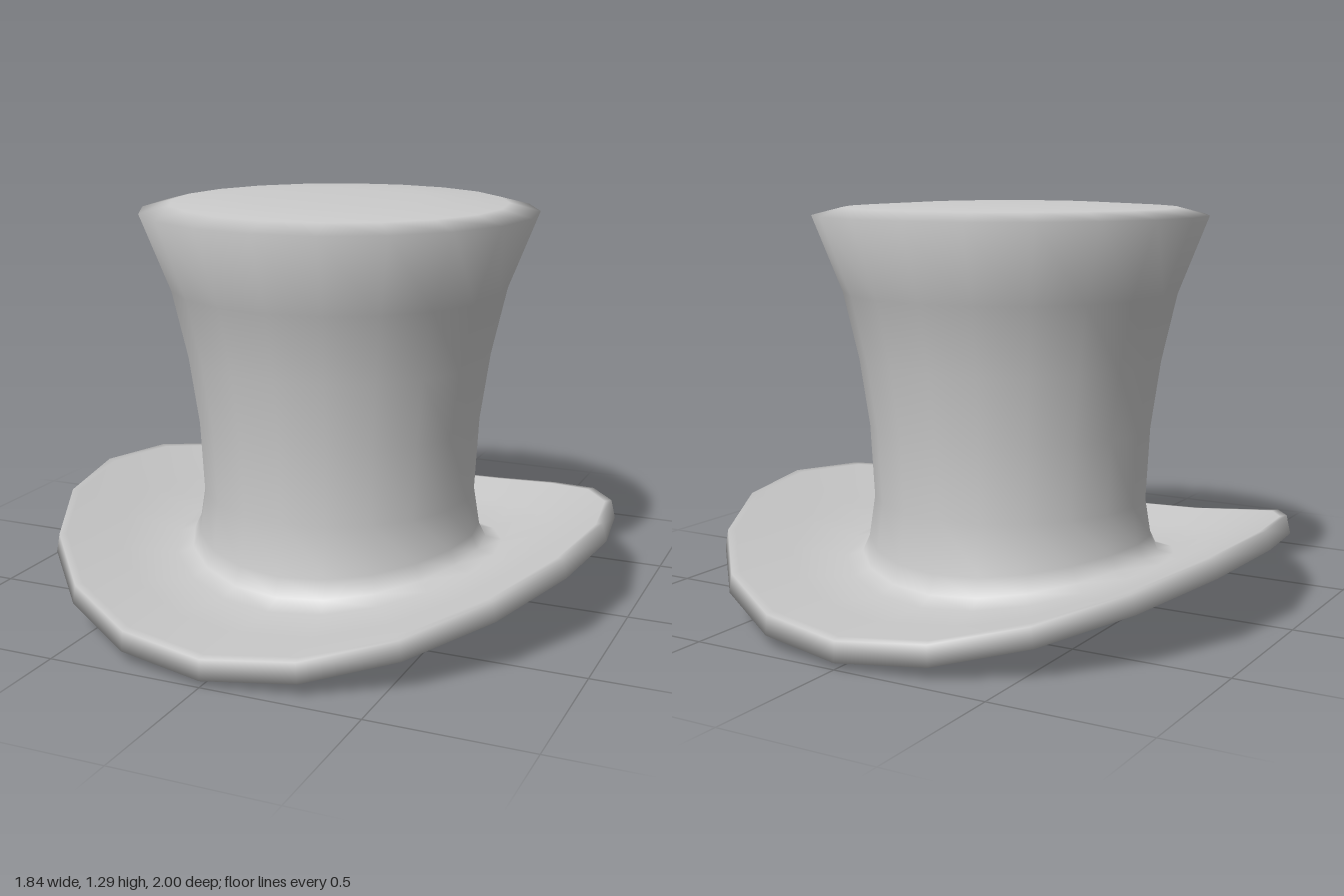
import * as THREE from 'three';
import { mergeVertices } from 'three/addons/utils/BufferGeometryUtils.js';

const SIDES = 20;

// Half cross-sections as [radius, height], before the brim is curled
const lining = [
  [0, 1.24], [0.5, 1.23], [0.6, 1.2], [0.525, 1.0], [0.475, 0.78],
  [0.443, 0.56], [0.43, 0.34], [0.445, 0.15], [0.46, 0.04],
];
const brim = [
  [0.49, 0.01], [0.55, 0], [0.76, 0.005], [1, 0.02],
  [0.998, 0.085], [0.97, 0.09], [0.76, 0.07], [0.56, 0.065],
];
const crown = [
  [0.5, 0.09], [0.475, 0.15], [0.455, 0.32], [0.468, 0.56], [0.5, 0.78],
  [0.55, 1.0], [0.648, 1.25], [0.55, 1.275], [0.3, 1.288], [0, 1.29],
];

// Narrow the brim sideways and curl its sides up, fading out up the crown
function curl(geometry) {
  const p = geometry.attributes.position;
  for (let i = 0; i < p.count; i++) {
    const y = p.getY(i);
    const r = Math.hypot(p.getX(i), p.getZ(i));
    const weight = 1 - THREE.MathUtils.smoothstep(y, 0.1, 0.32);
    const outward = THREE.MathUtils.clamp((r - 0.47) / 0.53, 0, 1);
    const narrow = weight * outward * (0.075 + 0.2 * y);
    const x = p.getX(i) * (1 - narrow);
    p.setXYZ(i, x, y + 0.262 * x * x * weight, p.getZ(i));
  }
}

export function createModel() {
  const profile = [...lining, ...brim, ...crown].map(([r, y]) => new THREE.Vector2(r, y));
  let geometry = new THREE.LatheGeometry(profile, SIDES);
  curl(geometry);

  // Weld the seam so the whole shell shades smoothly
  geometry.deleteAttribute('uv');
  geometry.deleteAttribute('normal');
  geometry = mergeVertices(geometry, 1e-4);
  geometry.computeVertexNormals();

  const shell = new THREE.Mesh(geometry, new THREE.MeshStandardMaterial({ color: 0xcccccc }));
  shell.name = 'crownAndBrim';

  const hat = new THREE.Group();
  hat.name = 'topHat';
  hat.add(shell);
  return hat;
}
